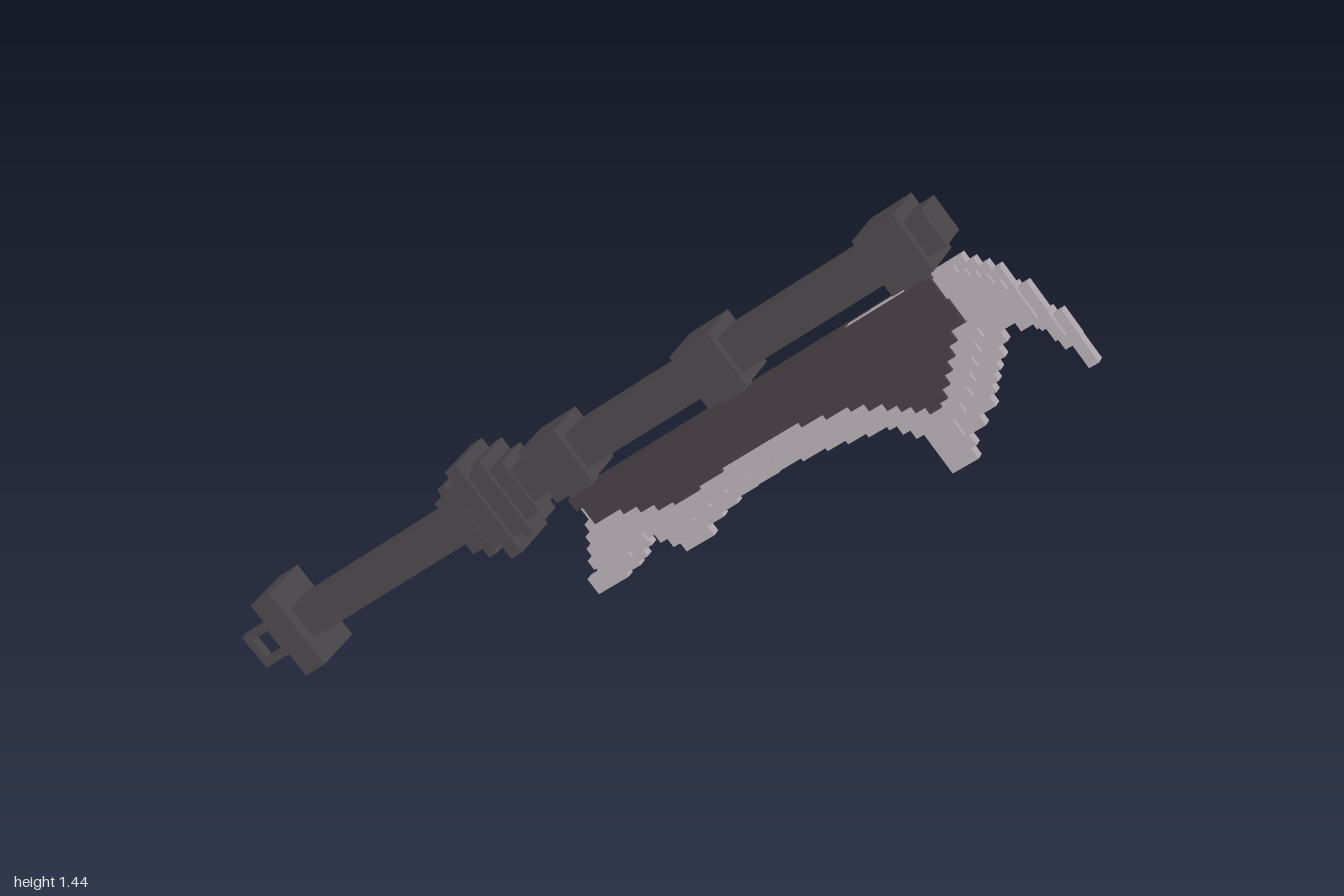
import * as THREE from 'three';

const mat = (name, color) => Object.assign(new THREE.MeshStandardMaterial({ color }), { name });

// Turns a list of corners into a closed outline of small right-angled steps
function steppedShape(points, step = 0.03) {
  const out = [];
  points.forEach(([x0, y0], i) => {
    const [x1, y1] = points[(i + 1) % points.length];
    const dx = x1 - x0, dy = y1 - y0;
    const small = Math.min(Math.abs(dx), Math.abs(dy));
    const n = Math.max(1, Math.round(Math.max(small / 0.02, Math.hypot(dx, dy) / step / 2)));
    const steps = small < 0.002 ? 1 : n;
    for (let k = 0; k < steps; k++) {
      const x = x0 + (dx * k) / steps, y = y0 + (dy * k) / steps;
      out.push(new THREE.Vector2(x, y));
      if (small >= 0.002) out.push(new THREE.Vector2(x + dx / steps, y));
    }
  });
  return new THREE.Shape(out);
}

export function createModel() {
  const darkMetal = mat('dark metal', 0x4b464a);
  const darkBlade = mat('dark blade', 0x463f43);
  const paleSteel = mat('pale steel', 0xb5adb4);

  const model = new THREE.Group();
  model.name = 'battleAxe';

  // Built along local x with the blade on -y, then tilted
  const axe = new THREE.Group();
  axe.name = 'axe';
  axe.position.set(-0.845, 0.15, 0);
  axe.rotation.z = THREE.MathUtils.degToRad(40);
  model.add(axe);

  // Box spanning u0..u1 along the shaft and v0..v1 across it
  function block(name, u0, u1, v0, v1, depth, material = darkMetal) {
    const mesh = new THREE.Mesh(new THREE.BoxGeometry(u1 - u0, v1 - v0, depth), material);
    mesh.position.set((u0 + u1) / 2, (v0 + v1) / 2, 0);
    mesh.name = name;
    axe.add(mesh);
  }

  function plate(name, shape, depth, material) {
    const geo = new THREE.ExtrudeGeometry(shape, { depth, bevelEnabled: false });
    geo.translate(0, 0, -depth / 2);
    const mesh = new THREE.Mesh(geo, material);
    mesh.name = name;
    axe.add(mesh);
  }

  // Shaft and pommel
  block('shaft', 0, 1.957, -0.044, 0.044, 0.088);
  block('pommel', -0.033, 0.033, -0.105, 0.105, 0.146);

  // Square end ring on a short link
  const square = (P, r) => new P([[-r, -r], [r, -r], [r, r], [-r, r]]
    .map(([x, y]) => new THREE.Vector2(x - 0.12, y - 0.004)));
  const ring = square(THREE.Shape, 0.047);
  ring.holes.push(square(THREE.Path, 0.027));
  plate('endRing', ring, 0.025, darkMetal);
  block('ringLink', -0.074, -0.03, -0.022, 0.016, 0.025);

  // Guard of stacked plates: start, end, half width, half depth
  [
    [0.555, 0.59, 0.072, 0.052],
    [0.59, 0.615, 0.096, 0.06],
    [0.615, 0.645, 0.084, 0.056],
    [0.645, 0.68, 0.122, 0.072],
    [0.68, 0.705, 0.086, 0.06],
    [0.705, 0.73, 0.1, 0.064],
    [0.73, 0.77, 0.07, 0.052],
  ].forEach(([a, b, w, d]) => block('guardPlate', a, b, -w, w, 2 * d));

  // Collars with brackets that hold the blade
  for (const u of [0.884, 1.343, 1.855]) {
    block('collar', u - 0.055, u + 0.055, -0.07, 0.07, 0.126);
    block('bladeBracket', u - 0.045, u + 0.02, -0.1, -0.06, 0.05);
  }

  // Dark blade core
  plate('bladeCore', steppedShape([
    [0.834, -0.083], [0.834, -0.115], [0.853, -0.161], [0.93, -0.175], [1.008, -0.208],
    [1.051, -0.216], [1.2, -0.2], [1.365, -0.2], [1.543, -0.238], [1.614, -0.276],
    [1.69, -0.328], [1.72, -0.318], [1.791, -0.25], [1.84, -0.2], [1.885, -0.2],
    [1.875, -0.083],
  ]), 0.06, darkBlade);

  // Pale blade body
  plate('bladeBody', steppedShape([
    [0.86, -0.09], [0.841, -0.151], [0.805, -0.2], [0.77, -0.25], [0.81, -0.268],
    [0.87, -0.255], [0.93, -0.235], [1.0, -0.268], [1.06, -0.262], [1.17, -0.245],
    [1.3, -0.24], [1.43, -0.255], [1.58, -0.29], [1.65, -0.35], [1.665, -0.405],
    [1.7, -0.405], [1.72, -0.365], [1.79, -0.32], [1.84, -0.27], [1.89, -0.225],
    [1.98, -0.25], [2.015, -0.33], [2.04, -0.33], [2.04, -0.27], [2.012, -0.19],
    [1.98, -0.14], [1.93, -0.09],
  ]), 0.042, paleSteel);

  // Thin cutting edge with its spikes
  plate('cuttingEdge', steppedShape([
    [0.865, -0.095], [0.841, -0.151], [0.807, -0.207], [0.77, -0.262], [0.733, -0.262],
    [0.733, -0.305], [0.782, -0.305], [0.872, -0.287], [0.929, -0.253], [0.99, -0.322],
    [1.025, -0.322], [1.074, -0.297], [1.174, -0.277], [1.303, -0.273], [1.43, -0.289],
    [1.58, -0.318], [1.64, -0.385], [1.64, -0.465], [1.695, -0.465], [1.725, -0.411],
    [1.816, -0.362], [1.875, -0.307], [1.924, -0.257], [2.0, -0.3], [2.036, -0.415],
    [2.06, -0.415], [2.063, -0.283], [2.037, -0.198], [2.009, -0.14], [1.954, -0.08],
    [1.88, -0.08],
  ]), 0.024, paleSteel);

  return model;
}
